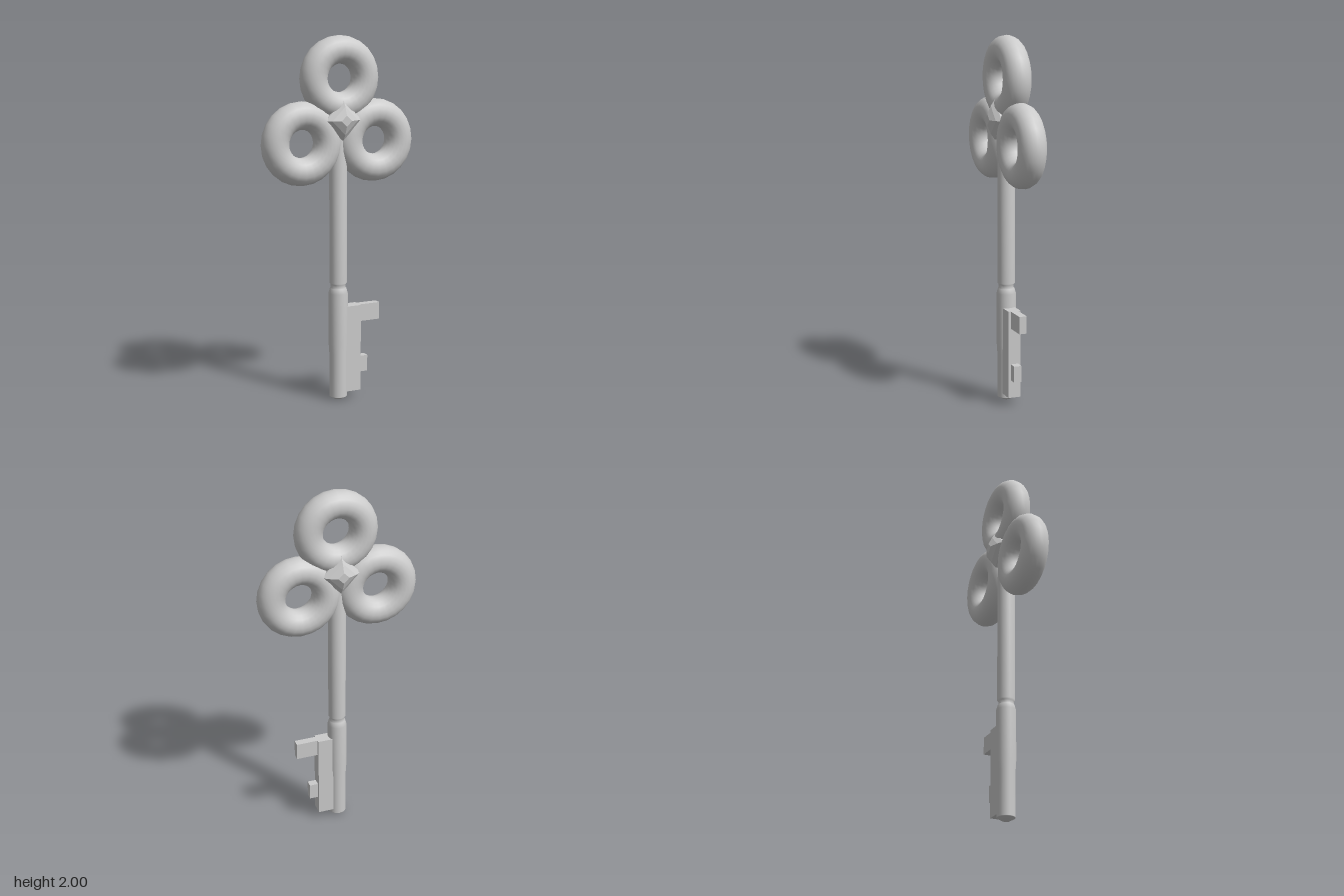
import * as THREE from 'three';

export function createModel() {
  const key = new THREE.Group();
  key.name = 'key';
  const smooth = new THREE.MeshStandardMaterial({ color: 0xcccccc });
  const flat = new THREE.MeshStandardMaterial({ color: 0xcccccc, flatShading: true });

  const add = (name, geometry, material, x = 0, y = 0, z = 0) => {
    const mesh = new THREE.Mesh(geometry, material);
    mesh.name = name;
    mesh.position.set(x, y, z);
    key.add(mesh);
    return mesh;
  };
  const lathe = (points, sides) =>
    new THREE.LatheGeometry(points.map(([r, h]) => new THREE.Vector2(r, h)), sides);

  // Trefoil bow of three thick rings
  const ring = new THREE.TorusGeometry(0.15, 0.075, 20, 24);
  add('topRing', ring, smooth, 0.006, 1.775, 0);
  add('leftRing', ring, smooth, 0.212, 1.435, 0);
  add('rightRing', ring, smooth, -0.216, 1.435, 0);

  // Four-sided faceted stud through the middle of the bow
  const stud = lathe([
    [0, -0.108], [0.03, -0.108], [0.075, -0.088], [0.107, -0.065],
    [0.107, 0.065], [0.075, 0.088], [0.03, 0.107], [0, 0.107],
  ], 4);
  stud.rotateX(Math.PI / 2);
  add('centreStud', stud, flat, 0, 1.555, 0);

  // Round stem, with a tapered tip, a collar and a narrow groove
  const stem = lathe([
    [0, 0.005], [0.022, 0.008], [0.047, 0.022], [0.049, 0.025], [0.049, 0.27],
    [0.053, 0.33], [0.053, 0.61], [0.045, 0.638], [0.041, 0.642],
    [0.041, 0.66], [0.048, 0.668], [0.048, 1.49], [0, 1.5],
  ], 24);
  stem.translate(0, -0.005, 0);
  add('stem', stem, smooth);

  // Bit plate and its two teeth
  const block = (name, x0, x1, y0, y1, depth) =>
    add(name, new THREE.BoxGeometry(x1 - x0, y1 - y0, depth), flat, (x0 + x1) / 2, (y0 + y1) / 2, 0);
  block('bitPlate', 0.02, 0.122, 0.045, 0.53, 0.07);
  block('upperTooth', 0.1, 0.243, 0.435, 0.53, 0.042);
  block('lowerTooth', 0.1, 0.17, 0.145, 0.235, 0.042);

  return key;
}
